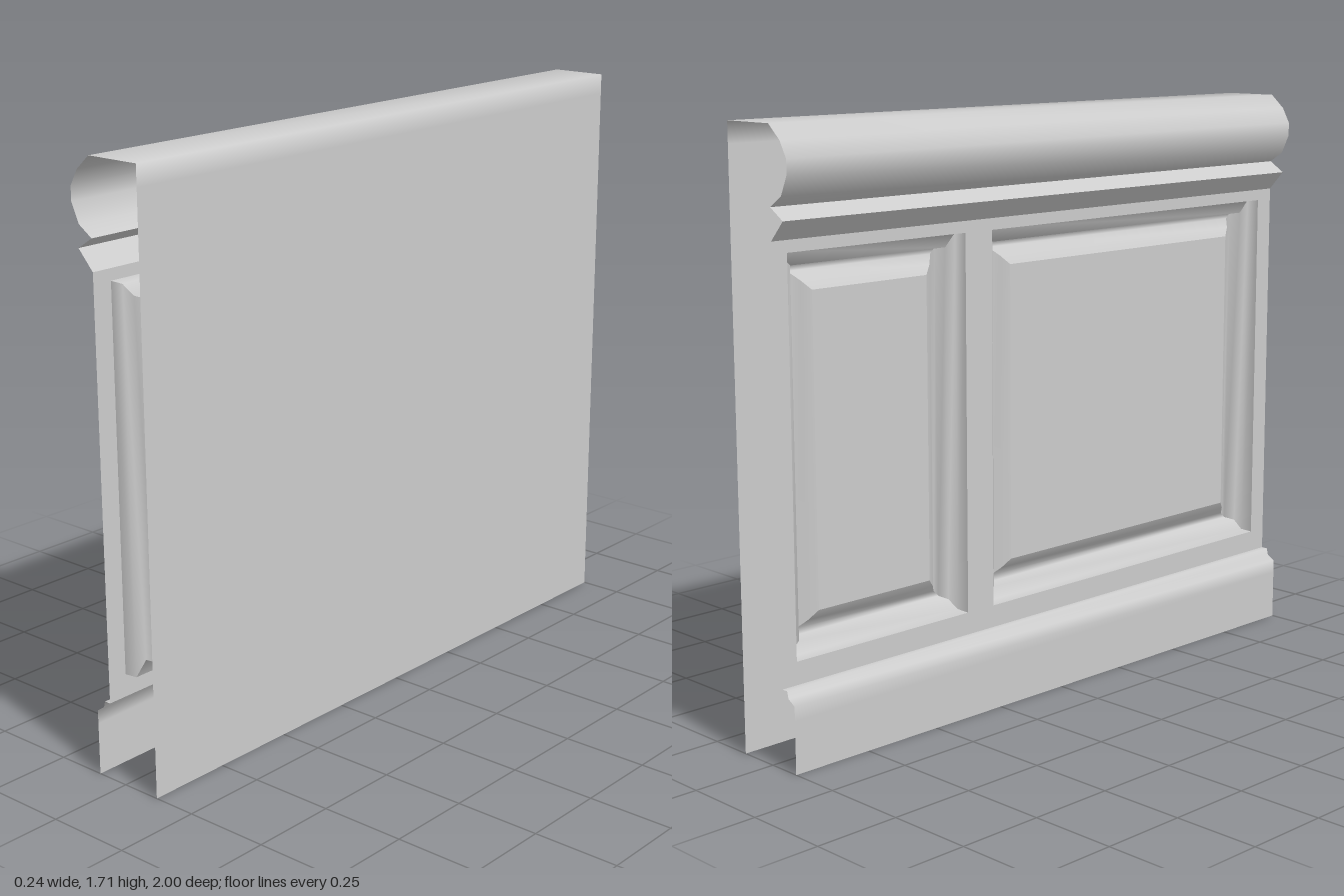
import * as THREE from 'three';

// Local frame: u runs along the wall (world z), v is up, d points out of the panelled face (world -x).
const material = new THREE.MeshStandardMaterial({ color: 0xcccccc, side: THREE.DoubleSide });

// Smooth sheet through rows of two points each
function sheet(name, rows) {
  const index = [];
  for (let i = 0; i < rows.length - 1; i++) {
    const a = 2 * i;
    index.push(a, a + 2, a + 3, a, a + 3, a + 1);
  }
  const g = new THREE.BufferGeometry();
  g.setAttribute('position', new THREE.Float32BufferAttribute(rows.flat(2), 3));
  g.setIndex(index);
  g.computeVertexNormals();
  const mesh = new THREE.Mesh(g, material);
  mesh.name = name;
  return mesh;
}

// Moulding profile of [d, v] points run along the full length
const run = (name, profile) =>
  sheet(name, profile.map(([d, v]) => [[-1, v, d], [1, v, d]]));

// Corners of an opening, inset by t, clockwise
const corners = ({ u0, u1, v0, v1 }, t) =>
  [[u0 + t, v0 + t], [u0 + t, v1 - t], [u1 - t, v1 - t], [u1 - t, v0 + t]];

const FACE = 0.05;
const openings = [
  { u0: -0.95, u1: -0.33, v0: 0.29, v1: 1.38 },
  { u0: -0.23, u1: 0.94, v0: 0.29, v1: 1.38 },
];

// Stepped moulding, groove and raised bevel as [inset, d]
const panelProfile = [
  [0, FACE], [0.002, 0.01], [0.04, 0.01], [0.042, -0.03], [0.06, -0.03], [0.085, -0.005], [0.11, 0.01],
];

function panel(opening) {
  const group = new THREE.Group();
  group.name = 'raisedPanel';
  for (let s = 0; s < 4; s++) {
    const rows = panelProfile.map(([t, d]) => {
      const c = corners(opening, t);
      return [[...c[s], d], [...c[(s + 1) % 4], d]];
    });
    group.add(sheet('panelMoulding', rows));
  }
  // Flat centre field
  const [inset, d] = panelProfile.at(-1);
  const c = corners(opening, inset);
  group.add(sheet('panelField', [
    [[...c[1], d], [...c[2], d]],
    [[...c[0], d], [...c[3], d]],
  ]));
  return group;
}

export function createModel() {
  const wall = new THREE.Group();
  wall.name = 'wainscot';
  wall.rotation.y = -Math.PI / 2;

  // Back sheet turning over into the rounded cap rail
  wall.add(run('backAndCapRail', [
    [-0.12, 0], [-0.12, 1.65], [-0.12, 1.71], [0.05, 1.71], [0.095, 1.67],
    [0.12, 1.625], [0.12, 1.585], [0.095, 1.53], [FACE, 1.5],
  ]));

  // Pointed moulding under the cap
  wall.add(run('neckMouldingTop', [[FACE, 1.5], [0.1, 1.468]]));
  wall.add(run('neckMouldingUnderside', [[0.1, 1.468], [FACE, 1.413]]));

  // Frame of rails and stiles around the panels
  const toPath = (pts, Path) => new Path(pts.map(([u, v]) => new THREE.Vector2(u, v)));
  const shape = toPath([[-1, 0.225], [1, 0.225], [1, 1.413], [-1, 1.413]], THREE.Shape);
  shape.holes = openings.map((o) => toPath(corners(o, 0), THREE.Path));
  const frame = new THREE.Mesh(new THREE.ShapeGeometry(shape), material);
  frame.name = 'panelFrame';
  frame.position.z = FACE;
  wall.add(frame);

  openings.forEach((o) => wall.add(panel(o)));

  // Baseboard with a stepped top
  wall.add(run('baseboard', [
    [FACE, 0.225], [0.07, 0.225], [0.075, 0.205], [0.1, 0.19], [0.1, 0.15], [0.1, 0],
  ]));

  const model = new THREE.Group();
  model.name = 'wallPanelling';
  model.add(wall);
  return model;
}
